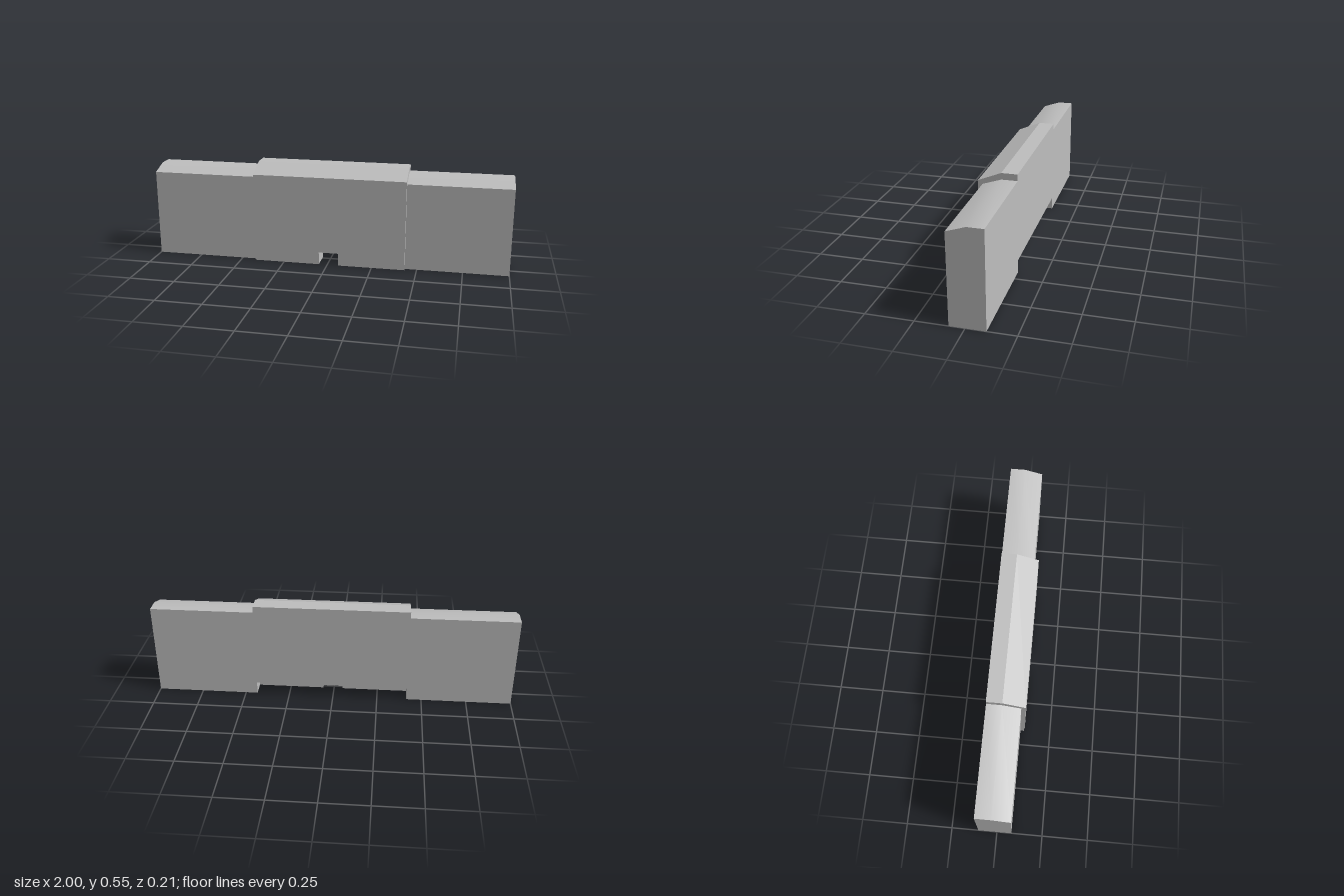
import * as THREE from 'three';
import { toCreasedNormals } from 'three/addons/utils/BufferGeometryUtils.js';

const grey = new THREE.MeshStandardMaterial({ color: 0xbfbfbf });
grey.name = 'plain grey';

// Prism running along x from x0 to x1; profile points are [z, y].
function prism(name, profile, x0, x1, crease) {
  const shape = new THREE.Shape(profile.map(([z, y]) => new THREE.Vector2(-z, y)));
  let geo = new THREE.ExtrudeGeometry(shape, { depth: x1 - x0, bevelEnabled: false });
  geo.rotateY(Math.PI / 2).translate(x0, 0, 0);
  if (crease) geo = toCreasedNormals(geo, crease);
  const mesh = new THREE.Mesh(geo, grey);
  mesh.name = name;
  return mesh;
}

// Upright section with a flat top at the back and a slope to the front.
const section = (front, bottom, shoulder, ridge, top) => [
  [front, bottom], [front, shoulder], [ridge, top], [-0.103, top], [-0.103, bottom],
];

export function createModel() {
  const group = new THREE.Group();
  group.name = 'wallBlock';
  const left = 0.434, right = -0.417;

  // Side walls, with a softly shaded ridge
  const wall = section(0.08, 0, 0.484, -0.019, 0.517);
  group.add(prism('rightWall', wall, -1, right, 0.5));
  group.add(prism('leftWall', wall, left, 1, 0.5));

  // Taller centre block, raised off the ground
  group.add(prism('centreBlock', section(0.104, 0.071, 0.502, -0.018, 0.552), right, left));

  // Two feet under the front of the centre block
  const foot = [[0.101, 0], [0.101, 0.071], [-0.018, 0.071], [-0.018, 0]];
  group.add(prism('rightFoot', foot, right, -0.048));
  group.add(prism('leftFoot', foot, 0.062, left));

  return group;
}
